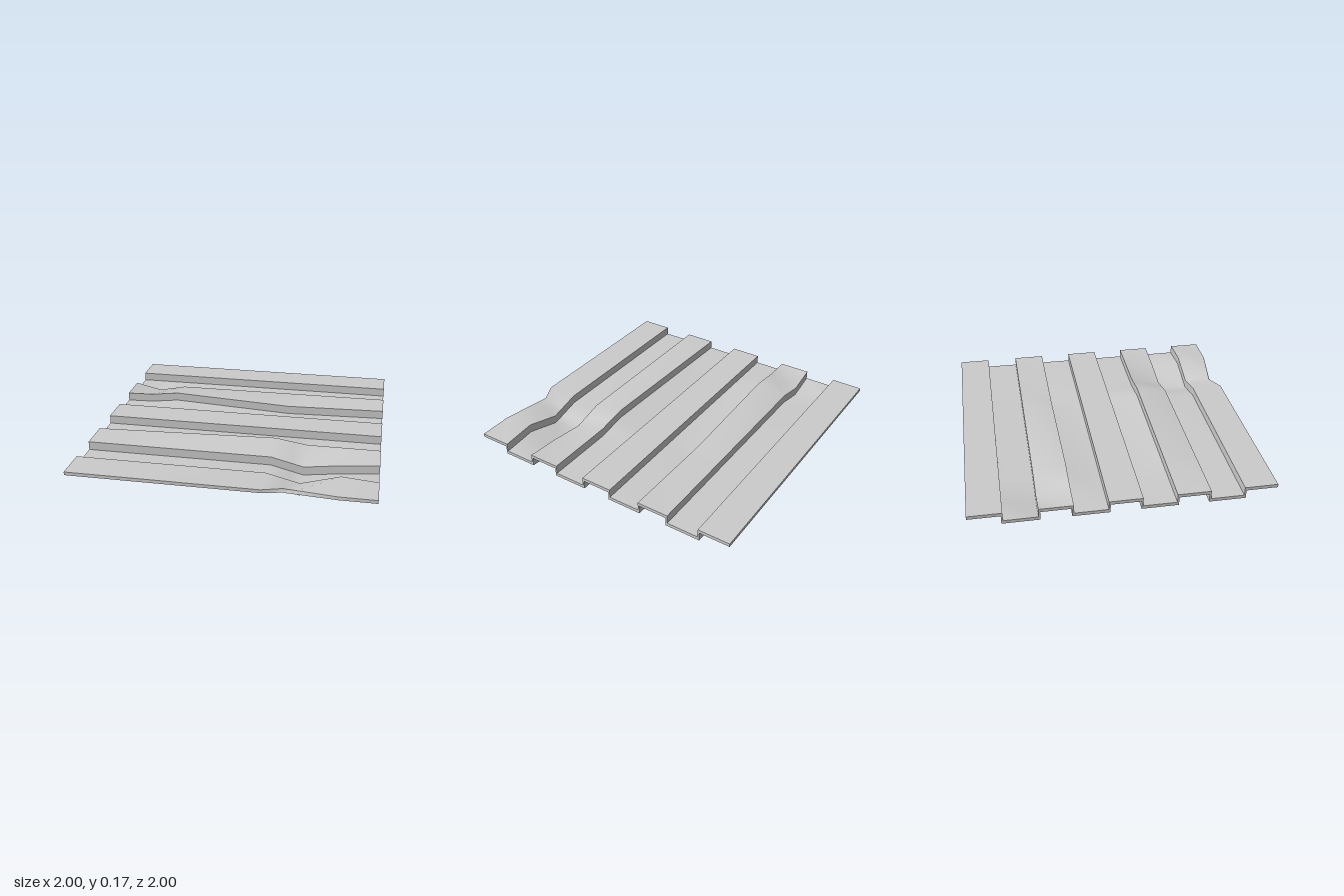
import * as THREE from 'three';

const HIGH = 0.14, LOW = 0.08, THICK = 0.023, WALL = 0.011;
const STATIONS = [-1, -0.8, -0.6, 0.28, 0.41, 0.5, 0.76, 1];

// Height changes along the bent folds, as [x, dy] pairs; fold 0 is at the back
const DENTS = {
  2: [[-1, 0], [-0.8, -0.047], [-0.6, -0.005], [1, 0]],
  3: [[-1, 0], [-0.8, 0.005], [-0.6, 0.03], [0.28, -0.015], [1, 0]],
  6: [[-1, 0], [0.28, 0.035], [0.5, 0], [1, 0]],
  7: [[0.28, 0], [0.5, -0.055], [0.76, -0.02], [1, 0]],
  8: [[0.28, 0], [0.5, -0.055], [0.76, 0.02], [1, 0]],
};
// Inward kink of the front edge
const NOTCH = [[0.28, 0], [0.41, 0.055], [0.76, 0]];

function sample(points, x) {
  if (!points) return 0;
  for (let i = 0; i + 1 < points.length; i++) {
    const [x0, v0] = points[i], [x1, v1] = points[i + 1];
    if (x >= x0 && x <= x1) return v0 + (v1 - v0) * (x - x0) / (x1 - x0);
  }
  return 0;
}

// Stepped cross-section at one station: upper and lower outline, back to front
function section(x) {
  const top = [[x, HIGH, -1]], bottom = [[x, HIGH - THICK, -1]];
  for (let fold = 1; fold <= 8; fold++) {
    const z = -1 + fold * 2 / 9;
    const dy = sample(DENTS[fold], x);
    const goesDown = fold % 2 === 1;
    const inner = z + (goesDown ? -WALL : WALL);
    for (const y of goesDown ? [HIGH, LOW] : [LOW, HIGH]) {
      top.push([x, y + dy, z]);
      bottom.push([x, y + dy - THICK, inner]);
    }
  }
  const kink = sample(NOTCH, x);
  top.push([x, HIGH - kink * 0.15, 1 - kink]);
  bottom.push([x, HIGH - THICK - kink * 0.15, 1 - kink * 0.8]);
  return { top, bottom, loop: [...top, ...bottom.slice().reverse()] };
}

function sheetGeometry() {
  const sections = STATIONS.map(section);
  const positions = [], indices = [];

  // One strip per outline edge: smooth along x, sharp at every fold
  const count = sections[0].loop.length;
  for (let j = 0; j < count; j++) {
    const start = positions.length / 3;
    for (const { loop } of sections) positions.push(...loop[j], ...loop[(j + 1) % count]);
    for (let i = 0; i + 1 < sections.length; i++) {
      const a = start + i * 2;
      indices.push(a, a + 1, a + 2, a + 1, a + 3, a + 2);
    }
  }

  // Cut ends of the sheet
  for (const [s, right] of [[sections[0], false], [sections[sections.length - 1], true]]) {
    for (let j = 0; j + 1 < s.top.length; j++) {
      const a = positions.length / 3;
      positions.push(...s.bottom[j], ...s.top[j], ...s.top[j + 1], ...s.bottom[j + 1]);
      if (right) indices.push(a, a + 1, a + 2, a, a + 2, a + 3);
      else indices.push(a, a + 2, a + 1, a, a + 3, a + 2);
    }
  }

  const geometry = new THREE.BufferGeometry();
  geometry.setAttribute('position', new THREE.Float32BufferAttribute(positions, 3));
  geometry.setIndex(indices);
  geometry.computeVertexNormals();
  return geometry;
}

export function createModel() {
  const group = new THREE.Group();
  group.name = 'dentedCorrugatedPanel';
  const sheet = new THREE.Mesh(sheetGeometry(), new THREE.MeshStandardMaterial({ color: 0xcccccc }));
  sheet.name = 'corrugatedSheet';
  group.add(sheet);
  return group;
}
